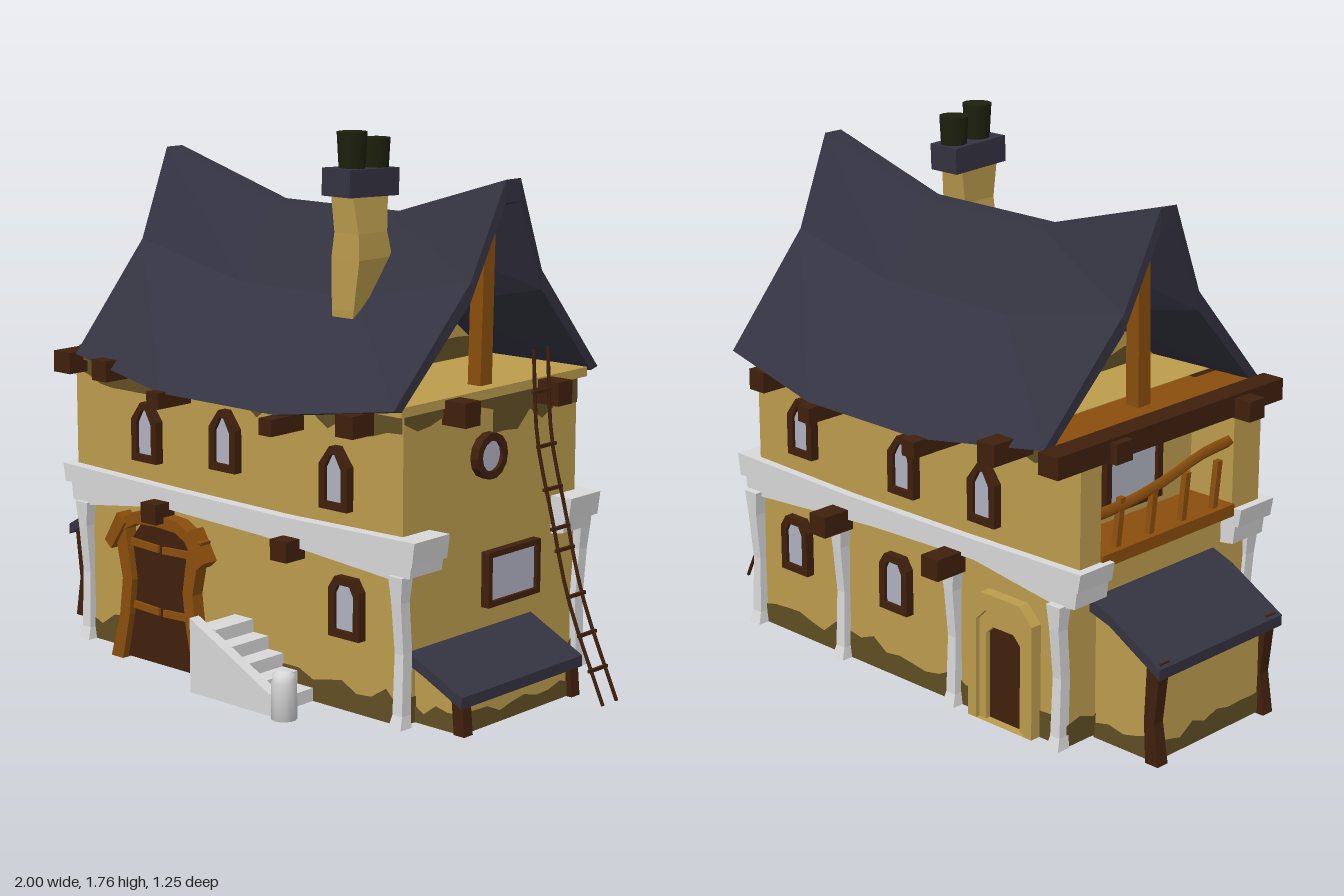
import * as THREE from 'three';

const mat = (name, color) => {
  const m = new THREE.MeshStandardMaterial({ color });
  m.name = name;
  return m;
};

export function createModel() {
  const house = new THREE.Group();
  house.name = 'cottage';
  const plaster = mat('plaster', 0xbd9d4d), stain = mat('stainedPlaster', 0x614f24);
  const slate = mat('slate', 0x343341), stone = mat('paleStone', 0xd9d9d9);
  const darkWood = mat('darkWood', 0x40200d), oak = mat('orangeOak', 0x8a4e0c);
  const glass = mat('glass', 0xb0b2c1), soot = mat('sootyPot', 0x1d200d);
  plaster.side = THREE.DoubleSide; // the walls are open underneath

  const add = (name, geo, m, parent = house) => {
    const mesh = new THREE.Mesh(geo, m);
    mesh.name = name;
    parent.add(mesh);
    return mesh;
  };
  // Box given by its extents
  const block = (name, m, x0, x1, y0, y1, z0, z1) => {
    const b = add(name, new THREE.BoxGeometry(x1 - x0, y1 - y0, z1 - z0), m);
    b.position.set((x0 + x1) / 2, (y0 + y1) / 2, (z0 + z1) / 2);
    return b;
  };
  // Hollow plaster room without a floor; the top falls by drop at the outer end
  const shell = (name, x0, x1, y0, y1, z0, z1, drop = 0) => {
    const b = block(name, plaster, x0, x1, y0, y1, z0, z1), g = b.geometry, p = g.attributes.position;
    const outward = Math.sign(x0 + x1);
    for (let i = 0; i < p.count; i++)
      if (p.getY(i) > 0 && p.getX(i) * outward > 0) p.setY(i, p.getY(i) - drop);
    g.setIndex([...g.index.array].filter((_, i) => i < 18 || i >= 24));
    g.clearGroups();
    g.computeVertexNormals();
  };
  const shapeOf = (pts, hole) => {
    const s = new THREE.Shape(pts.map(p => new THREE.Vector2(p[0], p[1])));
    if (hole) s.holes.push(new THREE.Path(hole.map(p => new THREE.Vector2(p[0], p[1]))));
    return s;
  };
  // Outline in x-y, extruded from z0 to z1
  const prism = (name, m, pts, z0, z1, parent, hole) => {
    const g = new THREE.ExtrudeGeometry(shapeOf(pts, hole), { depth: z1 - z0, bevelEnabled: false });
    return add(name, g.translate(0, 0, z0), m, parent);
  };
  // Flat-faced skin through matching cross-section loops, capped at both ends
  const loft = (name, m, rings) => {
    const v = [], n = rings[0].length;
    const quad = (a, b, c, d) => v.push(...a, ...b, ...c, ...a, ...c, ...d);
    for (let k = 0; k < rings.length - 1; k++)
      for (let i = 0; i < n; i++) {
        const j = (i + 1) % n;
        quad(rings[k][i], rings[k][j], rings[k + 1][j], rings[k + 1][i]);
      }
    const s = rings[0], e = rings[rings.length - 1];
    for (let i = 0; i < n / 2 - 1; i++) {
      quad(e[i], e[i + 1], e[n - 2 - i], e[n - 1 - i]);
      quad(s[n - 1 - i], s[n - 2 - i], s[i + 1], s[i]);
    }
    const g = new THREE.BufferGeometry();
    g.setAttribute('position', new THREE.Float32BufferAttribute(v, 3));
    g.computeVertexNormals();
    return add(name, g, m);
  };
  // Bent upright timber: rows of [x, y, z, width, depth]
  const post = (name, m, rows) => loft(name, m, rows.map(([x, y, z, w, d]) =>
    [[1, 1], [1, -1], [-1, -1], [-1, 1]].map(([sx, sz]) => [x + sx * w / 2, y, z + sz * d / 2])));

  // Walls; the upper storey is open on one end for a balcony
  shell('lowerWalls', -0.72, 0.66, 0.03, 0.62, -0.43, 0.4);
  block('upperWalls', plaster, -0.6, 0.66, 0.6, 0.98, -0.43, 0.4);
  block('balconyFrontWall', plaster, -0.77, -0.6, 0.6, 0.98, 0.27, 0.4);
  block('balconyBackWall', plaster, -0.77, -0.6, 0.6, 0.98, -0.43, -0.34);
  block('balconyFloor', oak, -0.78, -0.6, 0.6, 0.64, -0.34, 0.27);
  block('atticFloor', plaster, -0.56, 0.67, 0.975, 1.005, -0.47, 0.42);
  block('atticLedge', oak, -0.716, -0.56, 0.975, 1.003, -0.45, 0.42);

  // Gable walls set deep under the roof, with king posts near the ends
  const gable = [[-0.46, 0.99], [0.46, 0.99], [0.17, 1.23], [0.03, 1.46], [-0.03, 1.46], [-0.17, 1.23]];
  for (const [x, px] of [[0.25, 0.6], [-0.32, -0.63]]) {
    const g = prism('gableWall', plaster, gable, -0.015, 0.015);
    g.rotation.y = Math.PI / 2;
    g.position.set(x, 0, -0.035);
    post('kingPost', oak, [[px, 1.0, -0.022, 0.05, 0.055], [px, 1.57, -0.035, 0.05, 0.05]]);
  }

  // Sagging roof
  const roofRing = (ridgeX, eaveX, half) => {
    const at = (s, drop) => half.map(([o, y], i) =>
      [i === 2 ? eaveX : i ? (eaveX + ridgeX) / 2 : ridgeX, y - drop[i], -0.035 + s * (o - (drop[i] && i === 2 ? 0.035 : 0))]);
    const none = [0, 0, 0], thick = [0.07, 0.06, 0.008];
    return [...at(-1, none).reverse(), ...at(1, none), ...at(1, thick).reverse(), ...at(-1, thick)];
  };
  const endHalf = [[0.035, 1.64], [0.17, 1.345], [0.49, 1.0]];
  const midHalf = [[0.035, 1.5], [0.18, 1.25], [0.55, 0.94]];
  loft('roof', slate, [roofRing(-0.745, -0.71, endHalf), roofRing(-0.26, -0.25, midHalf),
    roofRing(0.25, 0.24, midHalf), roofRing(0.71, 0.67, endHalf)]);

  // Chimney
  post('chimneyStack', plaster, [[0.24, 1.165, 0.12, 0.08, 0.17], [0.245, 1.22, 0.125, 0.09, 0.17],
    [0.26, 1.38, 0.14, 0.115, 0.15], [0.265, 1.46, 0.15, 0.1, 0.13], [0.255, 1.58, 0.145, 0.09, 0.16]]);
  block('chimneyCap', slate, 0.2, 0.315, 1.57, 1.655, 0.03, 0.255).rotation.x = -0.04;
  for (const [z, y] of [[0.185, 1.705], [0.08, 1.68]])
    add('chimneyPot', new THREE.CylinderGeometry(0.048, 0.041, 0.125, 12), soot).position.set(0.26, y, z);

  // Irregular damp patches; negative height hangs downward
  let seed = 7;
  const rnd = () => (seed = (seed * 16807) % 2147483647) / 2147483647;
  const patch = (w, h, x, y, z, ry) => {
    const pts = [[-w / 2, 0], [w / 2, 0]], n = Math.max(4, Math.round(w / 0.06));
    for (let i = n; i >= 0; i--) pts.push([-w / 2 + w * i / n, h * (0.45 + 0.55 * rnd())]);
    const p = add('dampPatch', new THREE.ShapeGeometry(shapeOf(pts)), stain);
    p.position.set(x, y, z);
    p.rotation.y = ry;
  };
  const R = Math.PI / 2;
  patch(1.38, 0.11, -0.03, 0.03, 0.404, 0);
  patch(1.38, 0.11, -0.03, 0.03, -0.434, Math.PI);
  patch(0.83, 0.11, 0.664, 0.03, -0.015, R);
  patch(0.83, 0.11, -0.724, 0.03, -0.015, -R);
  patch(1.43, -0.09, -0.055, 0.98, 0.404, 0);
  patch(1.43, -0.09, -0.055, 0.98, -0.434, Math.PI);
  patch(0.42, -0.14, 0.664, 0.98, -0.22, R);
  patch(0.41, -0.06, 0.664, 0.98, 0.195, R);
  patch(0.8, 0.07, 0.27, 1.005, -0.035, R);
  patch(0.8, 0.07, -0.34, 1.005, -0.035, -R);

  // Stone cornice between the storeys, front and back
  for (const [z0, z1, c0, c1] of [[0.28, 0.425, 0.28, 0.44], [-0.45, -0.31, -0.46, -0.31]]) {
    prism('corniceBeam', stone, [[-0.78, 0.58], [-0.77, 0.5], [-0.7, 0.49], [-0.35, 0.54], [0.1, 0.525],
      [0.63, 0.485], [0.71, 0.5], [0.72, 0.58]], z0, z1);
    prism('corniceCrown', stone, [[-0.8, 0.62], [-0.79, 0.56], [-0.3, 0.575], [0.2, 0.57], [0.73, 0.54],
      [0.74, 0.615], [0.2, 0.605], [-0.3, 0.61]], c0, c1);
  }
  // Bowed stone pillars
  const pillar = (x, z, s) => post('stonePillar', stone, [[x, 0.03, z, 0.05, 0.05], [x, 0.07, z - s * 0.008, 0.038, 0.04],
    [x, 0.26, z - s * 0.015, 0.034, 0.04], [x, 0.42, z, 0.038, 0.04], [x, 0.5, z, 0.055, 0.05]]);
  for (const x of [-0.715, 0.665]) pillar(x, 0.415, 1);
  for (const x of [-0.705, -0.26, 0.25, 0.665]) pillar(x, -0.45, -1);

  // Beam ends: [x, y, half size, z reach]
  for (const [x, y, r, front, back] of [[-0.55, 0.97, 0.034, 0.5, -0.6], [-0.255, 0.92, 0.026, 0.545, -0.63],
    [0.235, 0.905, 0.026, 0.545, -0.61], [0.515, 0.94, 0.034, 0.5, -0.56]]) {
    block('eaveBeamFront', darkWood, x - r, x + r, y - r, y + r, 0.3, front);
    block('eaveBeamBack', darkWood, x - r, x + r, y - r, y + r, back, -0.3);
  }
  block('gableBeam', darkWood, -0.79, -0.712, 0.935, 1.005, -0.55, 0.48);
  for (const [z, x] of [[-0.29, -0.815], [0.28, -0.85]]) block('gableBeamEnd', darkWood, x, -0.6, 0.93, 0.995, z - 0.035, z + 0.035);
  for (const z of [-0.255, 0.19]) block('sideBeamEnd', darkWood, 0.6, 0.75, 0.925, 1.0, z - 0.035, z + 0.035);
  for (const [x, y] of [[-0.345, 0.53], [0.23, 0.51]])
    block('floorBeamFront', darkWood, x - 0.034, x + 0.034, y - 0.033, y + 0.033, 0.35, 0.485);
  for (const x of [-0.26, 0.25]) block('floorBeamBack', darkWood, x - 0.036, x + 0.036, 0.48, 0.55, -0.55, -0.4);

  // Windows: outline frame with a hole and a glass plate
  const outlines = {
    pointed: [[-0.5, -0.5], [0.5, -0.5], [0.5, 0.2], [0.12, 0.5], [-0.12, 0.5], [-0.5, 0.2]],
    arched: [[-0.5, -0.5], [0.5, -0.5], [0.5, 0.3], [0.3, 0.5], [-0.3, 0.5], [-0.5, 0.3]],
    square: [[-0.5, -0.5], [0.5, -0.5], [0.5, 0.5], [-0.5, 0.5]],
    round: Array.from({ length: 14 }, (_, i) => [Math.cos(i * Math.PI / 7) / 2, Math.sin(i * Math.PI / 7) / 2]),
  };
  const windowAt = (type, w, h, x, y, z, ry, rim = 0.024) => {
    const g = new THREE.Group();
    g.name = 'window';
    const size = (a, b) => outlines[type].map(p => [p[0] * a, p[1] * b]);
    const inner = size(w - 2 * rim, h - 2 * rim);
    prism('windowFrame', darkWood, size(w, h), 0, 0.03, g, inner);
    add('windowPane', new THREE.ShapeGeometry(shapeOf(inner)), glass, g).position.z = 0.018;
    g.position.set(x, y, z);
    g.rotation.y = ry;
    house.add(g);
  };
  for (const [x, y] of [[-0.42, 0.775], [-0.065, 0.8], [0.405, 0.755]]) windowAt('pointed', 0.115, 0.195, x, y, 0.4, 0);
  for (const [x, y] of [[-0.39, 0.765], [-0.04, 0.765], [0.43, 0.775]]) windowAt('pointed', 0.115, 0.195, x, y, -0.43, Math.PI);
  windowAt('arched', 0.125, 0.19, 0.45, 0.36, 0.4, 0);
  for (const x of [0.0, 0.47]) windowAt('arched', 0.125, 0.19, x, 0.36, -0.43, Math.PI);
  windowAt('round', 0.145, 0.145, 0.66, 0.8, 0.02, R);
  windowAt('square', 0.255, 0.175, 0.66, 0.41, -0.095, R, 0.018);
  windowAt('square', 0.26, 0.25, -0.6, 0.8, -0.03, -R);

  // Balcony railing
  const handrail = new THREE.CatmullRomCurve3([[-0.34, 0.76], [-0.2, 0.765], [-0.03, 0.79], [0.14, 0.83], [0.27, 0.84]]
    .map(([z, y]) => new THREE.Vector3(-0.75, y, z)));
  add('balconyRail', new THREE.TubeGeometry(handrail, 10, 0.02, 4), oak);
  for (const z of [-0.25, -0.1, 0.05, 0.2]) post('baluster', oak, [[-0.75, 0.63, z, 0.02, 0.022], [-0.75, 0.79, z + 0.02, 0.02, 0.022]]);

  // Double front door with bowed posts, struts and lintel
  const door = new THREE.Group();
  door.name = 'frontDoor';
  house.add(door);
  for (const s of [-1, 1]) {
    const cx = x => -0.35 + s * x;
    prism('doorLeaf', darkWood, [[0, 0.01], [0.17, 0.01], [0.135, 0.2], [0.15, 0.4], [0.1, 0.465], [0, 0.485]]
      .map(([x, y]) => [cx(x), y]), 0.38, 0.42, door);
    for (const y of [0.19, 0.4]) prism('doorStrap', oak, [[0.01, y - 0.013], [0.14, y - 0.008], [0.14, y + 0.016], [0.01, y + 0.01]]
      .map(([x, v]) => [cx(x), v]), 0.42, 0.43, door);
    post('doorPost', oak, [[cx(0.195), 0.005, 0.42, 0.055, 0.05], [cx(0.155), 0.16, 0.42, 0.045, 0.05],
      [cx(0.14), 0.28, 0.42, 0.045, 0.05], [cx(0.175), 0.46, 0.42, 0.055, 0.05]]);
    prism('doorStrut', oak, [[0.135, 0.47], [0.17, 0.5], [0.23, 0.4], [0.2, 0.375]].map(([x, y]) => [cx(x), y]), 0.4, 0.46, door);
    prism('doorLintel', oak, [[0, 0.48], [0, 0.52], [0.1, 0.512], [0.2, 0.46], [0.18, 0.43], [0.09, 0.475]]
      .map(([x, y]) => [cx(x), y]), 0.39, 0.45, door);
  }

  // Back door recessed in a plaster surround
  const arch = (w, h) => [[-w, 0.03], [w, 0.03], [w, h - w * 0.4], [w * 0.6, h], [-w * 0.6, h], [-w, h - w * 0.4]].map(([x, y]) => [x - 0.48, y]);
  prism('backDoorSurround', plaster, arch(0.135, 0.455), -0.47, -0.42, house, arch(0.1, 0.4));
  prism('backDoorInnerSurround', plaster, arch(0.1, 0.4), -0.455, -0.42, house, arch(0.072, 0.345));
  prism('backDoor', darkWood, arch(0.072, 0.345), -0.438, -0.42);

  // Lean-to on the balcony side
  shell('largeLeanTo', -0.96, -0.7, 0.02, 0.47, -0.3, 0.21, 0.14);
  prism('largeLeanToRoof', slate, [[-0.72, 0.485], [-0.8, 0.455], [-1.0, 0.34], [-1.0, 0.305], [-0.8, 0.42], [-0.7, 0.45]], -0.33, 0.245);
  patch(0.24, 0.09, -0.84, 0.02, 0.214, 0);
  patch(0.24, 0.09, -0.84, 0.02, -0.304, Math.PI);
  patch(0.51, 0.09, -0.964, 0.02, -0.045, -R);
  for (const z of [-0.295, 0.205]) post('largeLeanToPost', darkWood, [[-0.965, 0.015, z, 0.05, 0.045],
    [-0.95, 0.15, z, 0.04, 0.04], [-0.965, 0.35, z, 0.05, 0.045]]);

  // Lean-to on the ladder side
  shell('smallLeanTo', 0.65, 0.84, 0.03, 0.235, -0.19, 0.34, 0.095);
  prism('smallLeanToRoof', slate, [[0.66, 0.255], [0.72, 0.225], [0.865, 0.155], [0.865, 0.12], [0.72, 0.19], [0.66, 0.215]], -0.215, 0.37);
  patch(0.53, 0.07, 0.844, 0.03, 0.075, R);
  patch(0.19, 0.07, 0.745, 0.03, 0.344, 0);
  patch(0.19, 0.07, 0.745, 0.03, -0.194, Math.PI);
  for (const z of [-0.185, 0.335]) post('smallLeanToPost', darkWood, [[0.845, 0.03, z, 0.04, 0.04], [0.835, 0.14, z, 0.04, 0.04]]);

  // Front steps with a sloped side wall and bollard
  prism('stepSideWall', stone, [[-0.04, 0.03], [0.33, 0.03], [0.33, 0.1], [0.3, 0.1], [-0.04, 0.27]], 0.56, 0.6);
  for (let i = 0; i < 5; i++) block('step', stone, -0.04, 0.3 - i * 0.065, 0.03 + i * 0.042, 0.072 + i * 0.042, 0.39, 0.565);
  const bollard = [[0, 0], [0.04, 0], [0.04, 0.115], [0.034, 0.125], [0.034, 0.14], [0.02, 0.15], [0, 0.15]];
  add('stepBollard', new THREE.LatheGeometry(bollard.map(p => new THREE.Vector2(...p)), 14), stone).position.set(0.35, 0.03, 0.585);

  // Leaning ladder
  const leg = z => new THREE.CatmullRomCurve3([[0.705, 1.11], [0.735, 0.83], [0.785, 0.6], [0.865, 0.35], [0.995, 0.035]]
    .map(([x, y], i) => new THREE.Vector3(x, y, z + (i % 2 ? 0.006 : -0.006))));
  for (const z of [-0.145, -0.215]) add('ladderRail', new THREE.TubeGeometry(leg(z), 14, 0.006, 5), darkWood);
  for (const t of [0.12, 0.27, 0.39, 0.5, 0.56, 0.69, 0.8, 0.9]) {
    const p = leg(-0.18).getPointAt(t);
    block('ladderRung', darkWood, p.x - 0.005, p.x + 0.005, p.y - 0.005, p.y + 0.005, -0.225, -0.135);
  }
  return house;
}
